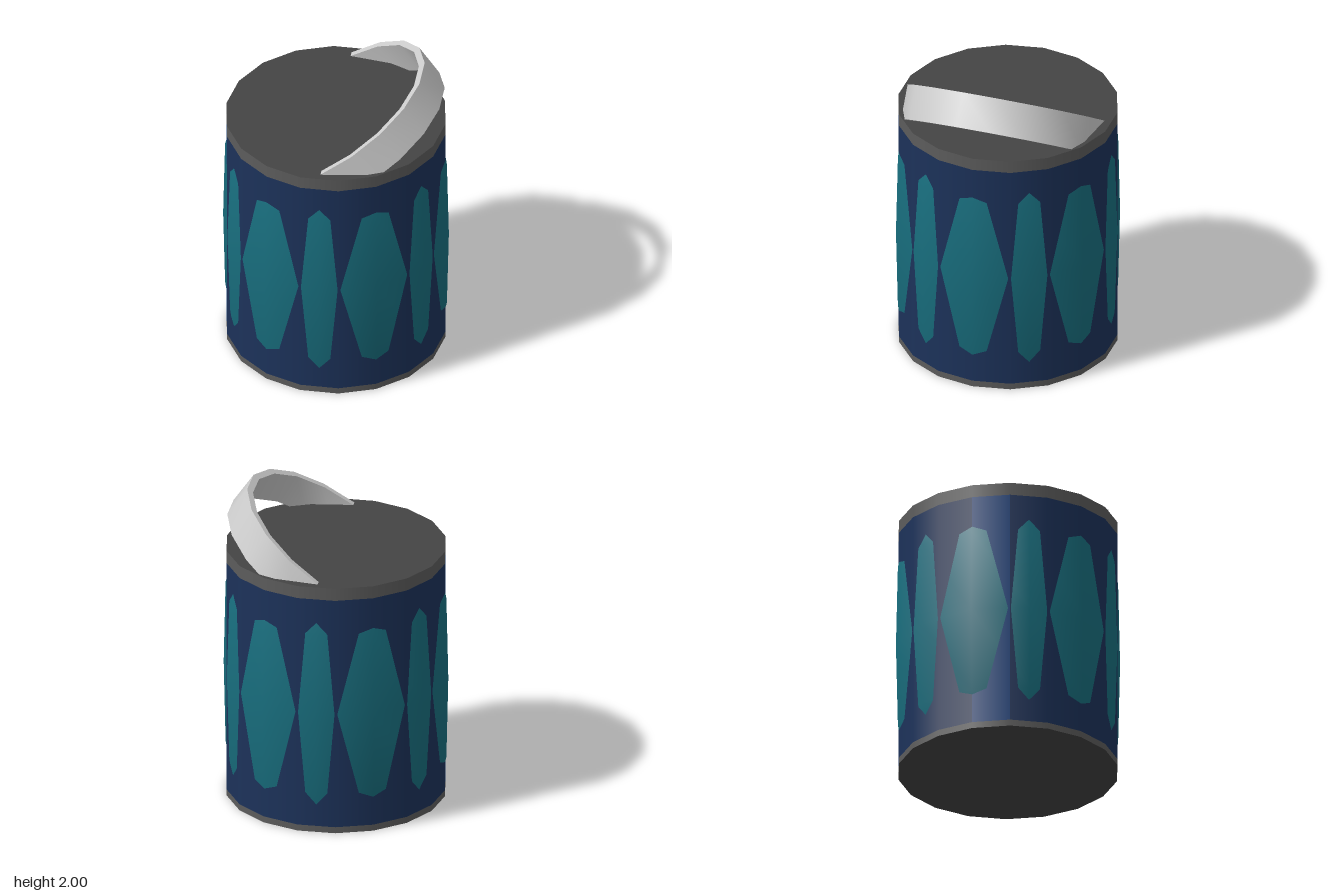
import * as THREE from 'three';
import { toCreasedNormals } from 'three/addons/utils/BufferGeometryUtils.js';

const R = 0.675, SIDES = 18, STEP = (Math.PI * 2) / SIDES;
const mat = (color) => new THREE.MeshStandardMaterial({ color });

export function createModel() {
  const model = new THREE.Group();
  const add = (name, geometry, material) => {
    const mesh = new THREE.Mesh(geometry, material);
    mesh.name = name;
    model.add(mesh);
    return mesh;
  };

  // Section of the 18-sided drum between two heights, with a corner on the x axis
  const drum = (y0, y1, open = false, start = Math.PI / 2, count = SIDES) =>
    new THREE.CylinderGeometry(R, R, y1 - y0, count, 1, open, start, count * STEP)
      .translate(0, (y0 + y1) / 2, 0);

  // Navy wall, with one lighter seam panel at the front of the -x side
  const seam = -Math.PI / 2;
  add('wall', drum(0.04, 1.55, true, seam + STEP, SIDES - 1), mat(0x1c325a));
  add('seamPanel', drum(0.04, 1.55, true, seam, 1), mat(0x20467f));

  // Grey base and lid, darker on their flat faces
  const rim = mat(0x5c5c5c), cap = mat(0x444444);
  add('base', drum(0, 0.04), [rim, cap, cap]);
  add('lid', drum(1.55, 1.63), [rim, cap, cap]);

  // 12-sided barrel whose corners break through the wall as teal petals
  const profile = [
    [0, 0.09], [0.643, 0.09], [0.683, 0.26], [0.695, 0.79],
    [0.683, 1.32], [0.643, 1.48], [0, 1.48],
  ].map(([r, y]) => new THREE.Vector2(r, y));
  add('petals', toCreasedNormals(new THREE.LatheGeometry(profile, 12), 0.6), mat(0x186e7e));

  // Handle: half an oval ring, extruded to a flat band and leaning towards +x
  const arc = (along, across) => Array.from({ length: 10 }, (_, i) => {
    const a = -Math.PI / 2 + i * STEP;
    return new THREE.Vector2(along * Math.cos(a), across * Math.sin(a));
  });
  const band = new THREE.Shape([...arc(0.655, 0.62), ...arc(0.612, 0.582).reverse()]);
  const handleGeo = new THREE.ExtrudeGeometry(band, { depth: 0.216, bevelEnabled: false });
  const lean = 0.608, c = Math.cos(lean), s = Math.sin(lean);
  handleGeo.applyMatrix4(new THREE.Matrix4().makeBasis(
    new THREE.Vector3(c, s, 0), new THREE.Vector3(0, 0, 1), new THREE.Vector3(s, -c, 0),
  ).setPosition(0, 1.63, 0));
  add('handle', toCreasedNormals(handleGeo, 0.6), mat(0xcccccc));

  return model;
}
